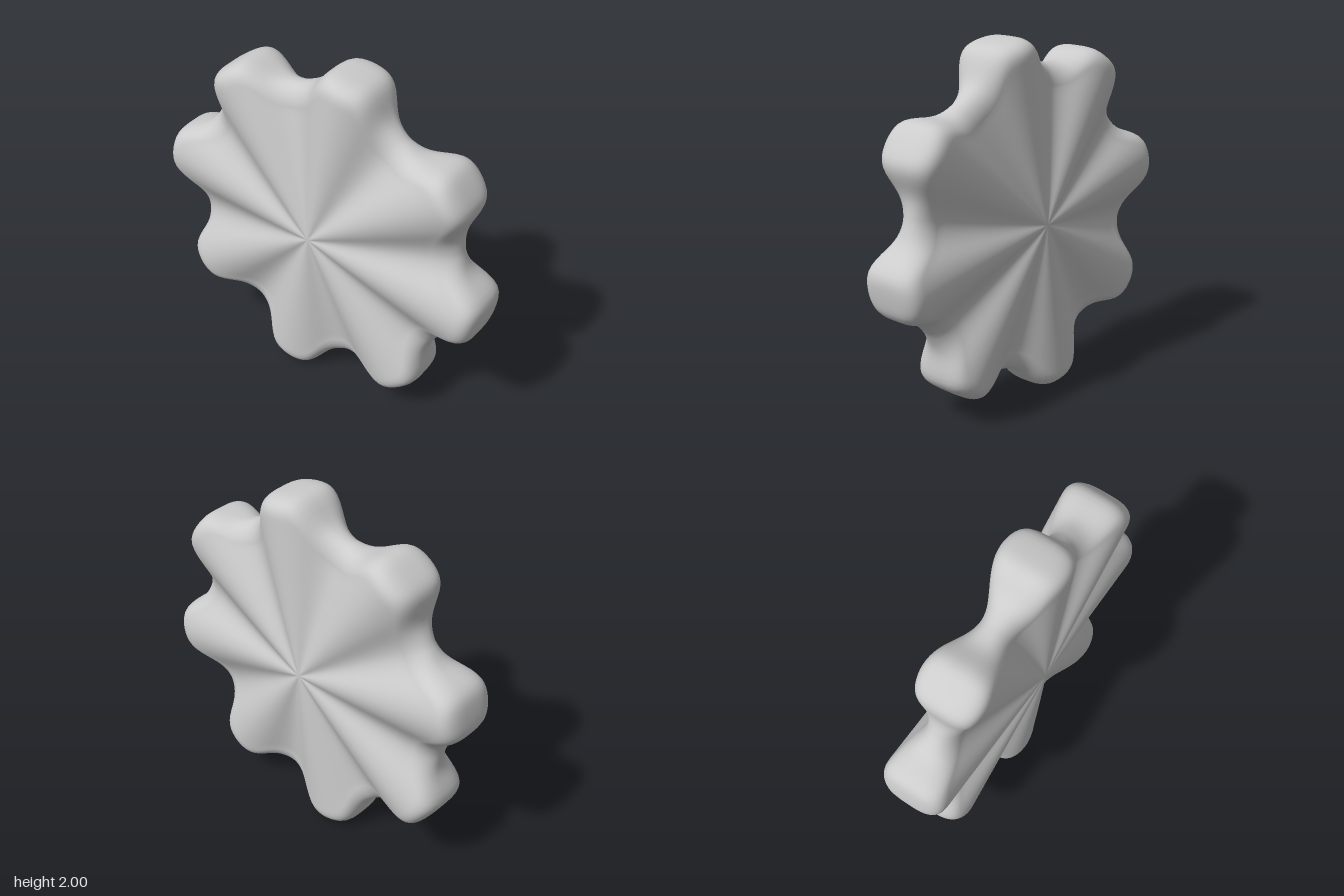
import * as THREE from 'three';

const LOBES = 8;
const PHASE = -10.5; // degrees, direction of the first lobe
const AROUND = 240;
const FACE = 22; // rings from the hub to the rounded edge
const EDGE = 16; // rings around half of the rounded edge
const ROUND = 0.13; // radial depth of the rounded edge

// Rim radius, face height and edge squareness at an angle in degrees
function section(deg) {
  const step = 360 / LOBES;
  const a = deg - PHASE;
  const off = Math.abs(a - step * Math.round(a / step));
  const valley = (1 - Math.cos((off / step) * Math.PI * 2)) / 2;
  return {
    rim: 0.843 + 0.164 / (1 + (off / 11.2) ** 5),
    drop: 0.008 + 0.095 * valley,
    power: 3.4 - 1.3 * valley,
  };
}

// Half profile from the hub (front) out to the rim, as [radius, z]
function halfProfile({ rim, drop, power }) {
  const pts = [];
  const flat = rim - ROUND;
  const hub = 0.197;
  for (let i = 1; i <= FACE; i++) {
    const t = i / FACE;
    pts.push([flat * t, hub - drop * t ** 1.2]);
  }
  for (let i = 1; i <= EDGE; i++) {
    const q = (i / EDGE) * Math.PI / 2;
    const c = i === EDGE ? 0 : Math.cos(q) ** (2 / power);
    pts.push([flat + ROUND * Math.sin(q) ** (2 / power), (hub - drop) * c]);
  }
  return pts;
}

function wheelGeometry() {
  const pos = [0, 0, 0.197, 0, 0, -0.197]; // front and back hub points
  const index = [];
  const rings = 2 * (FACE + EDGE) - 1;
  for (let j = 0; j < AROUND; j++) {
    const deg = (j / AROUND) * 360;
    const rad = THREE.MathUtils.degToRad(deg);
    const half = halfProfile(section(deg));
    const back = half.slice(0, -1).reverse().map(([r, z]) => [r, -z]);
    for (const [r, z] of [...half, ...back]) pos.push(r * Math.cos(rad), r * Math.sin(rad), z);
  }
  const id = (j, i) => 2 + (j % AROUND) * rings + i;
  for (let j = 0; j < AROUND; j++) {
    index.push(0, id(j, 0), id(j + 1, 0));
    for (let i = 0; i < rings - 1; i++) {
      const a = id(j, i), b = id(j, i + 1), c = id(j + 1, i + 1), d = id(j + 1, i);
      index.push(a, b, c, a, c, d);
    }
    index.push(1, id(j + 1, rings - 1), id(j, rings - 1));
  }
  const geo = new THREE.BufferGeometry();
  geo.setAttribute('position', new THREE.Float32BufferAttribute(pos, 3));
  geo.setIndex(index);
  geo.computeVertexNormals();
  return geo;
}

export function createModel() {
  const group = new THREE.Group();
  group.name = 'handwheel';
  // Lobed wheel, standing upright
  const wheel = new THREE.Mesh(wheelGeometry(), new THREE.MeshStandardMaterial({ color: 0xcccccc }));
  wheel.name = 'lobedWheel';
  wheel.position.y = 1;
  group.add(wheel);
  return group;
}
